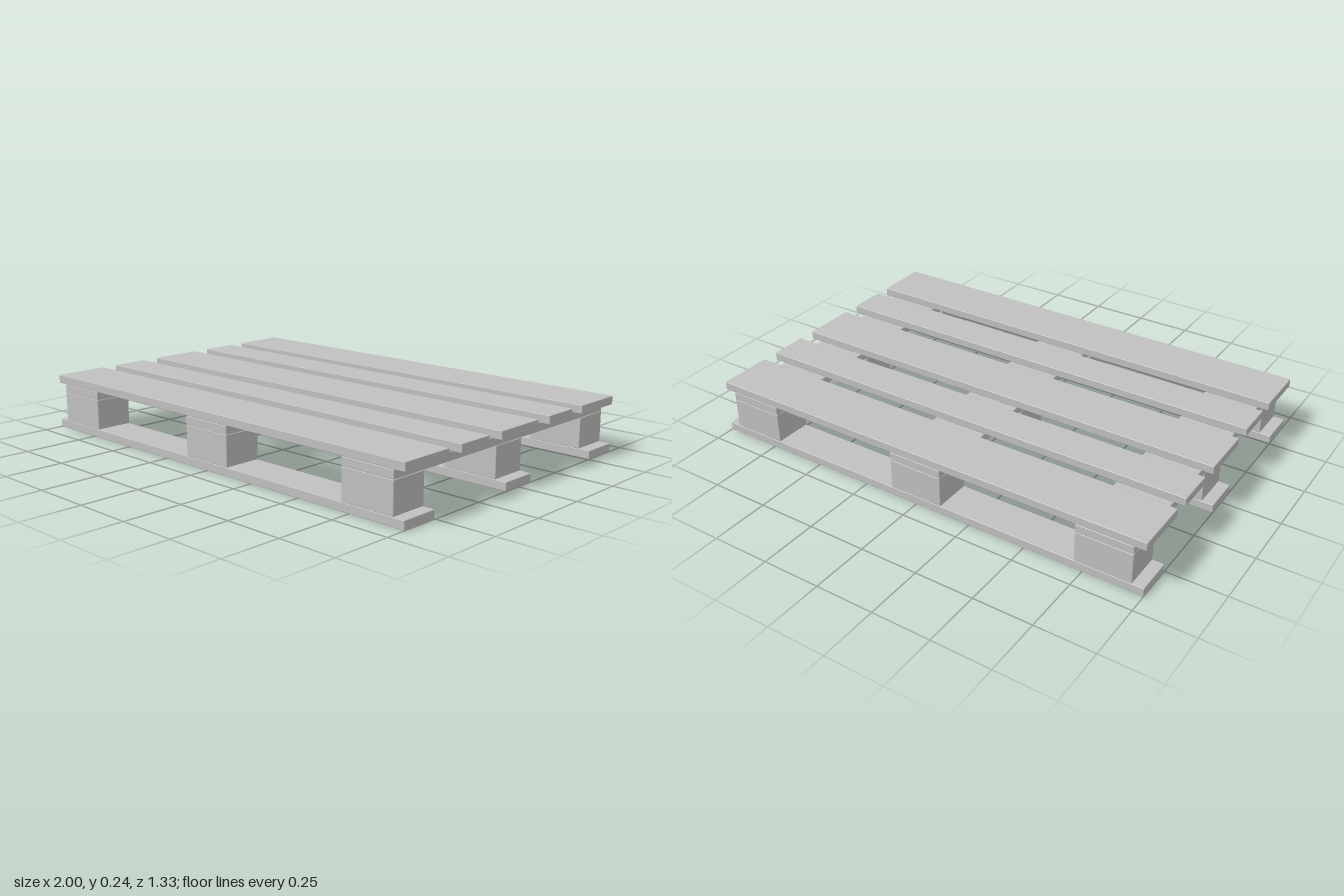
import * as THREE from 'three';
import { RoundedBoxGeometry } from 'three/addons/geometries/RoundedBoxGeometry.js';

export function createModel() {
  const pallet = new THREE.Group();
  pallet.name = 'pallet';
  const wood = new THREE.MeshStandardMaterial({ color: 0xc0c0c0 });
  wood.name = 'plain grey wood';

  // Timber with slightly eased edges; y is its underside
  function timber(name, w, h, d, x, y, z) {
    const mesh = new THREE.Mesh(new RoundedBoxGeometry(w, h, d, 1, 0.003), wood);
    mesh.name = name;
    mesh.position.set(x, y + h / 2, z);
    pallet.add(mesh);
  }

  const board = 0.036, block = 0.13;
  const wide = 0.237, narrow = 0.163;
  const blockX = [-0.833, 0, 0.833];
  const rowZ = [-0.584, 0, 0.584];

  // Bottom runners with three blocks on each
  for (const z of rowZ) {
    timber('bottomBoard', 2, board, narrow, 0, 0, z);
    for (const x of blockX) timber('block', wide, block, narrow, x, board, z);
  }

  // Cross boards running front to back over the blocks
  for (const x of blockX) timber('crossBoard', wide, board, 1.331, x, board + block, 0);

  // Deck: wide and narrow boards alternate
  [-0.547, -0.277, 0, 0.277, 0.547].forEach((z, i) => {
    timber('deckBoard', 2, board, i % 2 ? narrow : wide, 0, 2 * board + block, z);
  });

  return pallet;
}
